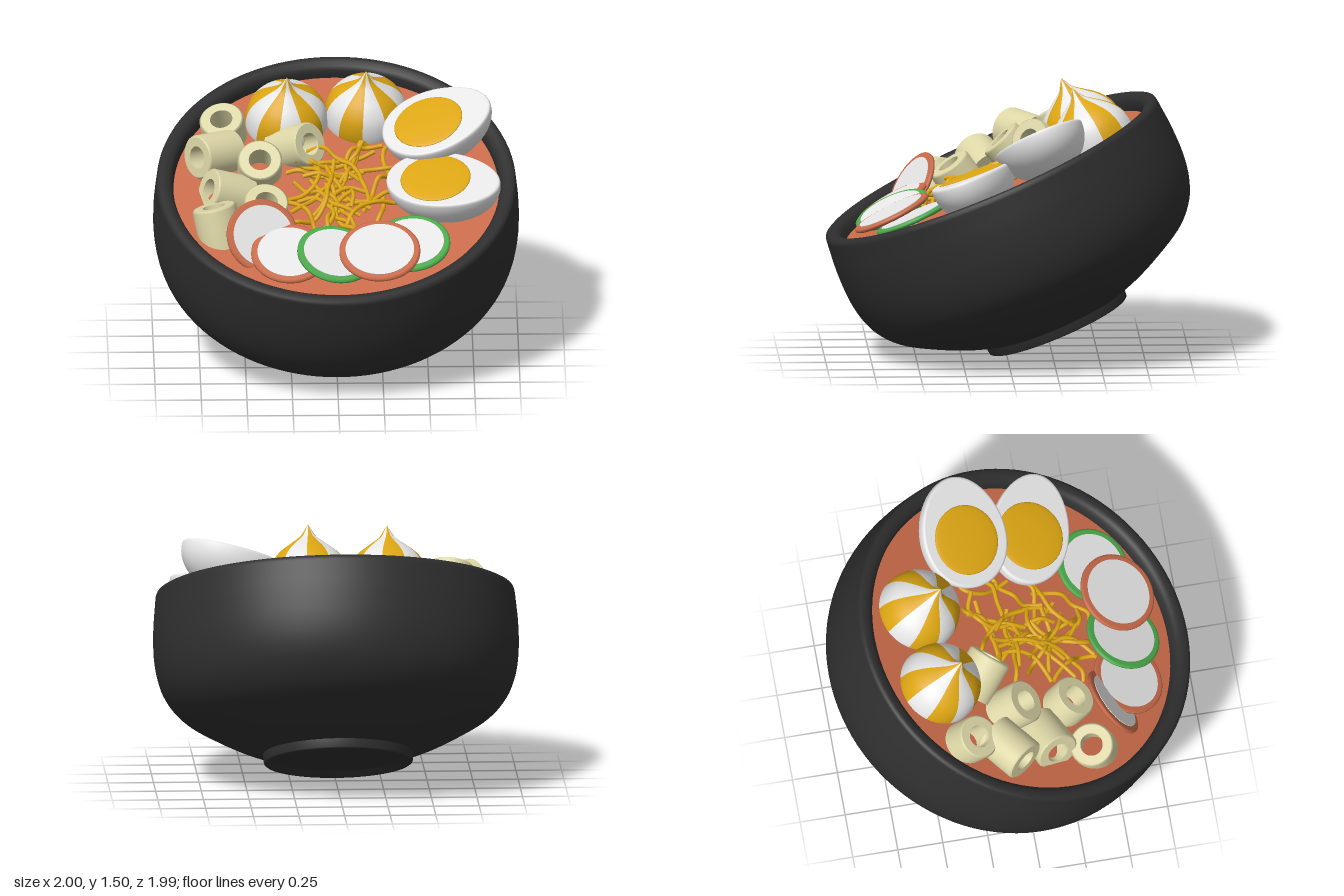
import * as THREE from 'three';

const mat = (name, color, side = THREE.FrontSide) => {
  const m = new THREE.MeshStandardMaterial({ color, side });
  m.name = name;
  return m;
};
const UP = new THREE.Vector3(0, 1, 0);
const vec2 = (pts) => pts.map(([r, h]) => new THREE.Vector2(r, h));

export function createModel() {
  const black = mat('bowlBlack', 0x2e2e2e);
  const broth = mat('brothRed', 0xc96b4a);
  const white = mat('eggWhite', 0xe6e6e6);
  const gold = mat('yolkGold', 0xdca512);
  const pasta = mat('pastaCream', 0xdcd6a6);
  const green = mat('cucumberGreen', 0x4caa4c);

  const model = new THREE.Group();
  model.name = 'soupBowl';
  // Everything is laid out upright, then tipped toward the front
  const tilted = new THREE.Group();
  tilted.name = 'tiltedBowl';
  tilted.position.set(0, 0.16, -0.285);
  tilted.rotation.x = 0.4;
  model.add(tilted);

  const add = (parent, name, geometry, material) => {
    const mesh = new THREE.Mesh(geometry, material);
    mesh.name = name;
    parent.add(mesh);
    return mesh;
  };
  const group = (name, x, y, z) => {
    const g = new THREE.Group();
    g.name = name;
    g.position.set(x, y, z);
    tilted.add(g);
    return g;
  };

  // Bowl: recessed foot, rounded wall, rolled rim (repeated points keep edges crisp)
  const wall = new THREE.SplineCurve(vec2([
    [0.412, 0.052], [0.56, 0.108], [0.72, 0.19], [0.85, 0.272], [0.935, 0.37],
    [0.98, 0.48], [1, 0.61], [1, 0.76], [0.99, 0.88], [0.984, 0.94],
  ])).getPoints(45);
  const bowlProfile = [
    ...vec2([[0, 0.03], [0.33, 0.03], [0.355, 0.02], [0.37, 0.003], [0.385, 0], [0.4, 0],
      [0.408, 0.006], [0.412, 0.052]]),
    ...wall,
    ...vec2([[0.978, 0.956], [0.962, 0.964], [0.935, 0.962], [0.912, 0.95], [0.898, 0.93],
      [0.893, 0.9], [0.89, 0.85]]),
  ];
  add(tilted, 'bowl', new THREE.LatheGeometry(bowlProfile, 96), black);
  const soup = add(tilted, 'broth', new THREE.CircleGeometry(0.893, 96).rotateX(-Math.PI / 2), broth);
  soup.position.y = 0.88;

  // Striped dumplings: ten wedges alternating in colour
  const dumplingProfile = new THREE.SplineCurve(vec2([
    [0.19, -0.1], [0.222, -0.03], [0.225, 0.04], [0.205, 0.115], [0.16, 0.175],
    [0.1, 0.222], [0.045, 0.264], [0.018, 0.305], [0.0, 0.335],
  ])).getPoints(32);
  dumplingProfile.forEach((p) => { p.x = Math.max(p.x, 0); });
  for (const [x, z, phase] of [[-0.265, -0.541, 0.12], [0.17, -0.588, 0.22]]) {
    const dumpling = group('dumpling', x, 0.88, z);
    const step = Math.PI / 5;
    for (let i = 0; i < 10; i++) {
      const wedge = new THREE.LatheGeometry(dumplingProfile, 7, phase + (i - 0.5) * step, step);
      add(dumpling, i % 2 ? 'goldStripe' : 'whiteStripe', wedge, i % 2 ? gold : white);
    }
  }

  // Halved eggs: rounded underside, flat cut face, slightly narrower outer end
  const eggProfile = [];
  for (let i = 0; i <= 18; i++) {
    const a = (i / 18) * Math.PI / 2;
    eggProfile.push(new THREE.Vector2(Math.sin(a), -Math.cos(a) - 0.08));
  }
  eggProfile.push(...vec2([[0.995, -0.03], [0.975, -0.006], [0.95, 0], [0.95, 0], [0, 0]]));
  const eggs = [
    { at: [0.55, 1.1, -0.325], size: [0.31, 0.22, 0.25], turn: 0.2, roll: 0.27, pitch: 0 },
    { at: [0.585, 1.055, 0.105], size: [0.32, 0.225, 0.225], turn: -0.28, roll: 0.1, pitch: -0.05 },
  ];
  for (const { at, size, turn, roll, pitch } of eggs) {
    const egg = group('halfEgg', ...at);
    egg.rotation.set(pitch, turn, roll, 'ZXY');
    const body = new THREE.LatheGeometry(eggProfile, 56);
    const p = body.attributes.position;
    for (let i = 0; i < p.count; i++) p.setZ(i, p.getZ(i) * (1 - 0.1 * p.getX(i)));
    add(egg, 'eggWhite', body.scale(...size), white);
    const yolk = new THREE.SphereGeometry(1, 40, 8, 0, Math.PI * 2, 0, Math.PI / 2);
    add(egg, 'yolk', yolk.scale(0.193, 0.014, 0.19), gold).position.x = -0.045;
  }

  // Short pasta tubes: centre of the upper end, then the direction it faces
  const R = 0.122, r = 0.062, l = 0.12;
  const tubeProfile = vec2([
    [R, -l], [R, l - 0.01], [R - 0.01, l], [R - 0.01, l], [r, l], [r, l],
    [r, -l], [r, -l], [R, -l],
  ]);
  const tubeGeometry = new THREE.LatheGeometry(tubeProfile, 32);
  const tubes = [
    [[-0.625, 1.02, -0.42], [-0.15, 1, 0.12]],
    [[-0.76, 0.985, -0.152], [-0.75, 0.3, 0.5]],
    [[-0.417, 1.016, -0.098], [0, 0.9, 0.35]],
    [[-0.14, 0.99, -0.249], [0.65, 0.55, 0.4]],
    [[-0.7, 0.95, 0.07], [-0.85, 0.45, 0.2]],
    [[-0.385, 1.0, 0.215], [0.1, 0.95, 0.2]],
    [[-0.675, 1.0, 0.255], [-0.2, 0.8, -0.5]],
  ];
  for (const [face, dir] of tubes) {
    const d = new THREE.Vector3(...dir).normalize();
    const tube = add(tilted, 'pastaTube', tubeGeometry, pasta);
    tube.quaternion.setFromUnitVectors(UP, d);
    tube.position.set(...face).addScaledVector(d, -l);
  }

  // Vegetable slices: coloured peel with a thin white face on both sides
  const slices = [
    [[-0.41, 0.96, 0.45], [0.28, 0.77, 0.55], 0.205, broth],
    [[-0.265, 0.945, 0.575], [0.02, 1, 0.1], 0.21, broth],
    [[-0.012, 0.95, 0.59], [0.16, 1, 0.03], 0.213, green],
    [[0.405, 0.935, 0.49], [-0.06, 1, 0.02], 0.213, green],
    [[0.23, 0.975, 0.59], [-0.02, 1, 0.06], 0.222, broth],
  ];
  for (const [at, normal, radius, peel] of slices) {
    const slice = group('vegetableSlice', ...at);
    slice.quaternion.setFromUnitVectors(UP, new THREE.Vector3(...normal).normalize());
    const edge = vec2([[0, -0.014], [radius - 0.012, -0.014], [radius, -0.006], [radius, 0.006],
      [radius - 0.012, 0.014], [0, 0.014]]);
    add(slice, 'peel', new THREE.LatheGeometry(edge, 48), peel);
    add(slice, 'flesh', new THREE.CylinderGeometry(radius - 0.034, radius - 0.034, 0.034, 48), white);
  }

  // Noodles: loose curved strands scattered by a small seeded generator
  let seed = 11;
  const rand = (a, b) => {
    seed = (seed * 16807) % 2147483647;
    return a + (b - a) * (seed / 2147483647);
  };
  const noodles = group('noodles', 0.03, 0.9, 0.06);
  for (let i = 0; i < 28; i++) {
    let heading = rand(0, Math.PI * 2);
    const bend = rand(-0.65, 0.65);
    const cx = rand(-0.17, 0.2), cz = rand(-0.25, 0.27);
    const half = [];
    let x = cx - Math.cos(heading) * 0.2, z = cz - Math.sin(heading) * 0.2;
    for (let k = 0; k < 6; k++) {
      half.push(new THREE.Vector3(
        THREE.MathUtils.clamp(x, -0.3, 0.3), rand(-0.01, 0.055),
        THREE.MathUtils.clamp(z, -0.38, 0.36)));
      x += Math.cos(heading) * 0.09;
      z += Math.sin(heading) * 0.09;
      heading += bend + rand(-0.2, 0.2);
    }
    const path = new THREE.CatmullRomCurve3(half);
    add(noodles, 'noodle', new THREE.TubeGeometry(path, 30, 0.0125, 7), gold);
  }

  return model;
}
